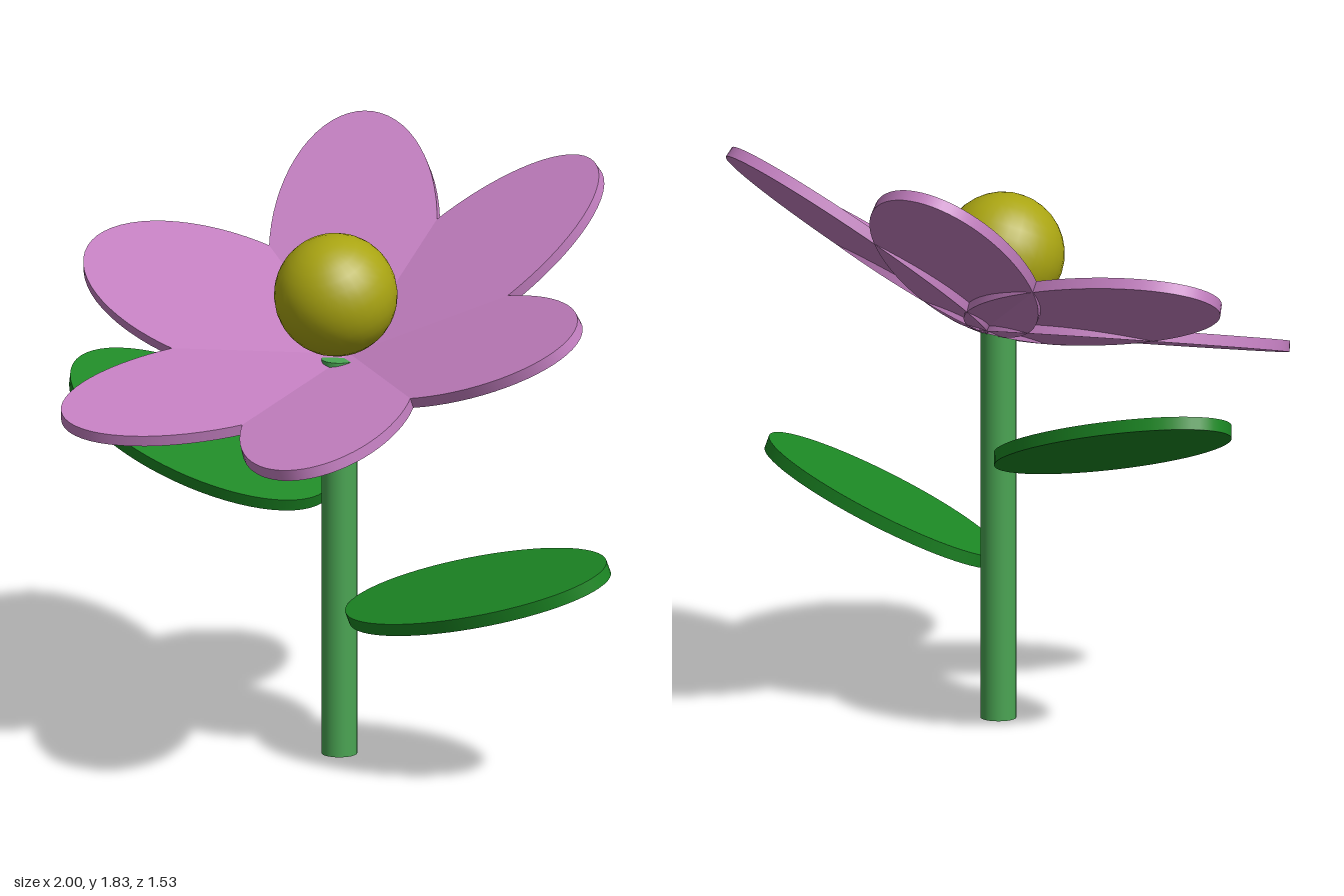
import * as THREE from 'three';

const rad = THREE.MathUtils.degToRad;
const paint = (color) => new THREE.MeshStandardMaterial({ color });

// Flat elliptical disc shared by petals and leaves
function ellipseDisc(name, length, width, thickness, material) {
  const geometry = new THREE.CylinderGeometry(1, 1, 1, 64);
  geometry.scale(length / 2, thickness, width / 2);
  const mesh = new THREE.Mesh(geometry, material);
  mesh.name = name;
  return mesh;
}

export function createModel() {
  const model = new THREE.Group();
  model.name = 'flower';
  const petalColor = paint(0xc580c2);
  const leafColor = paint(0x1c8824);

  // Stem
  const stem = new THREE.Mesh(new THREE.CylinderGeometry(0.055, 0.055, 1.25, 32), paint(0x4aa553));
  stem.name = 'stem';
  stem.position.set(-0.01, 0.625, -0.045);
  model.add(stem);

  // Leaves: each rises outwards and tips forwards
  const leaves = [
    { name: 'leftLeaf', at: [0.518, 0.593, -0.045], rise: 13.7 },
    { name: 'rightLeaf', at: [-0.535, 0.945, -0.045], rise: -17.3 },
  ];
  for (const { name, at, rise } of leaves) {
    const leaf = ellipseDisc(name, 0.97, 0.5, 0.04, leafColor);
    leaf.position.set(...at);
    leaf.rotation.set(rad(14.5), 0, rad(rise), 'ZXY');
    model.add(leaf);
  }

  // Flower head, tilted towards the front
  const head = new THREE.Group();
  head.name = 'flowerHead';
  head.position.set(-0.005, 1.24, -0.1);
  head.rotation.x = rad(25);
  model.add(head);

  // Ring of petals, each pitched up from the hub
  for (let i = 0; i < 6; i++) {
    const arm = new THREE.Group();
    arm.name = 'petalArm' + (i + 1);
    arm.rotation.set(0, rad(i * 60 - 1.5), rad(15));
    const petal = ellipseDisc('petal' + (i + 1), 0.98, 0.535, 0.035, petalColor);
    petal.position.x = 0.47;
    arm.add(petal);
    head.add(arm);
  }

  // Round centre
  const centre = new THREE.Mesh(new THREE.SphereGeometry(0.19, 32, 16), paint(0xaaa512));
  centre.name = 'flowerCentre';
  centre.position.set(-0.005, 0.228, -0.025);
  head.add(centre);

  return model;
}
